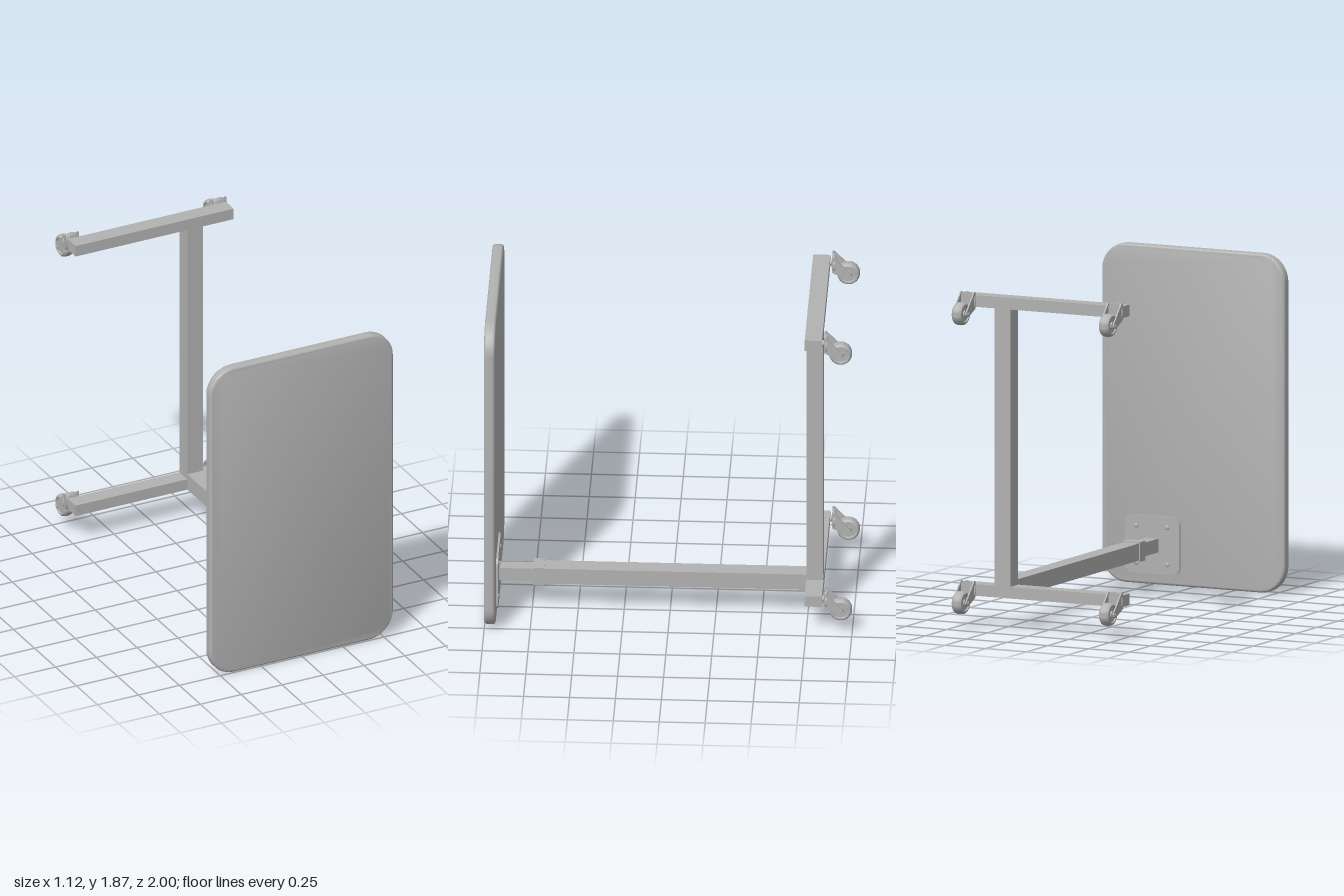
import * as THREE from 'three';
import { toCreasedNormals } from 'three/addons/utils/BufferGeometryUtils.js';

const grey = new THREE.MeshStandardMaterial({ color: 0xb2b2b2 });
grey.name = 'grey';

function add(parent, name, geometry, x = 0, y = 0, z = 0) {
  const mesh = new THREE.Mesh(geometry, grey);
  mesh.name = name;
  mesh.position.set(x, y, z);
  parent.add(mesh);
  return mesh;
}

// Box given by its limits on each axis
function bar(parent, name, [x0, x1], [y0, y1], [z0, z1]) {
  return add(parent, name, new THREE.BoxGeometry(x1 - x0, y1 - y0, z1 - z0),
    (x0 + x1) / 2, (y0 + y1) / 2, (z0 + z1) / 2);
}

// Rounded rectangle slab, back face at z = 0
function slab(w, h, r, depth, bevel) {
  const s = new THREE.Shape();
  const a = w / 2, b = h / 2;
  s.absarc(a - r, b - r, r, 0, Math.PI / 2);
  s.absarc(-a + r, b - r, r, Math.PI / 2, Math.PI);
  s.absarc(-a + r, -b + r, r, Math.PI, Math.PI * 1.5);
  s.absarc(a - r, -b + r, r, Math.PI * 1.5, Math.PI * 2);
  s.closePath();
  const g = new THREE.ExtrudeGeometry(s, {
    depth: depth - 2 * bevel, bevelEnabled: bevel > 0, bevelSize: bevel,
    bevelThickness: bevel, bevelOffset: -bevel, bevelSegments: 4, curveSegments: 14,
  });
  g.translate(0, 0, bevel);
  return toCreasedNormals(g, 0.6);
}

// Solid of revolution around a chosen axis
function lathe(points, axis, segments = 32) {
  const g = new THREE.LatheGeometry(points.map(p => new THREE.Vector2(...p)), segments);
  if (axis === 'x') g.rotateZ(-Math.PI / 2);
  if (axis === 'z') g.rotateX(-Math.PI / 2); // profile height runs towards -z
  return toCreasedNormals(g, 0.6);
}

// Caster pointing backwards from its mounting face
function makeCaster() {
  const caster = new THREE.Group();
  caster.name = 'caster';
  add(caster, 'stem', lathe([[0, 0], [0.016, 0], [0.016, 0.014], [0, 0.014]], 'z', 20));
  add(caster, 'swivelHead', lathe([[0, 0.01], [0.03, 0.01], [0.046, 0.014], [0.052, 0.02],
    [0.052, 0.028], [0, 0.028]], 'z'));

  // Fork cheeks; shape x is the distance behind the mounting face
  const s = new THREE.Shape();
  s.moveTo(0.012, 0.05);
  s.lineTo(0.022, 0.052);
  s.lineTo(0.112, -0.046);
  s.absarc(0.1, -0.06, 0.018, 0.8, -2.0, true);
  s.lineTo(0.03, -0.05);
  s.lineTo(0.012, -0.04);
  s.closePath();
  for (const side of [-1, 1]) {
    const cheek = new THREE.ExtrudeGeometry(s, { depth: 0.008, bevelEnabled: false });
    cheek.translate(0, 0, -0.004);
    cheek.rotateY(Math.PI / 2);
    add(caster, 'forkCheek', toCreasedNormals(cheek, 0.6), side * 0.04, 0, 0);
  }

  // Wheel with rounded tread and recessed sides
  add(caster, 'wheel', lathe([[0, -0.03], [0.018, -0.03], [0.02, -0.022], [0.042, -0.022],
    [0.045, -0.029], [0.053, -0.029], [0.06, -0.022], [0.063, -0.01], [0.063, 0.01],
    [0.06, 0.022], [0.053, 0.029], [0.045, 0.029], [0.042, 0.022], [0.02, 0.022],
    [0.018, 0.03], [0, 0.03]], 'x', 40), 0, -0.06, -0.1);
  add(caster, 'axle', lathe([[0, -0.05], [0.009, -0.05], [0.009, 0.05], [0, 0.05]], 'x', 16),
    0, -0.06, -0.1);
  return caster;
}

export function createModel() {
  const model = new THREE.Group();
  model.name = 'tiltedOverbedTable';

  // Table top standing on its short edge
  add(model, 'tableTop', slab(1.12, 1.865, 0.15, 0.06, 0.014), 0, 0.9325, 0.94);

  // Mounting plate and its bolts
  add(model, 'mountingPlate', slab(0.335, 0.32, 0.045, 0.012, 0), 0.243, 0.22, 0.929);
  for (const x of [0.15, 0.34]) for (const y of [0.115, 0.32]) {
    add(model, 'plateBolt', lathe([[0, 0], [0.013, 0], [0.012, 0.006], [0.006, 0.01],
      [0, 0.011]], 'z', 16), x, y, 0.93);
  }

  // Telescopic column
  bar(model, 'innerTube', [0.205, 0.281], [0.18, 0.256], [0.6, 0.93]);
  bar(model, 'outerTube', [0.195, 0.292], [0.17, 0.264], [-0.745, 0.74]);
  bar(model, 'collar', [0.188, 0.297], [0.163, 0.271], [0.682, 0.744]);
  add(model, 'clampScrew', new THREE.CylinderGeometry(0.01, 0.01, 0.02, 16), 0.243, 0.157, 0.713);

  // Base frame
  bar(model, 'baseSpine', [0.195, 0.292], [0.17, 1.765], [-0.835, -0.744]);
  for (const y of [0.17, 1.76]) {
    bar(model, 'baseLeg', [-0.488, 0.478], [y, y + 0.064], [-0.837, -0.743]);
    for (const x of [-0.457, 0.445]) {
      const caster = makeCaster();
      caster.position.set(x, y + 0.034, -0.837);
      model.add(caster);
    }
  }
  return model;
}
